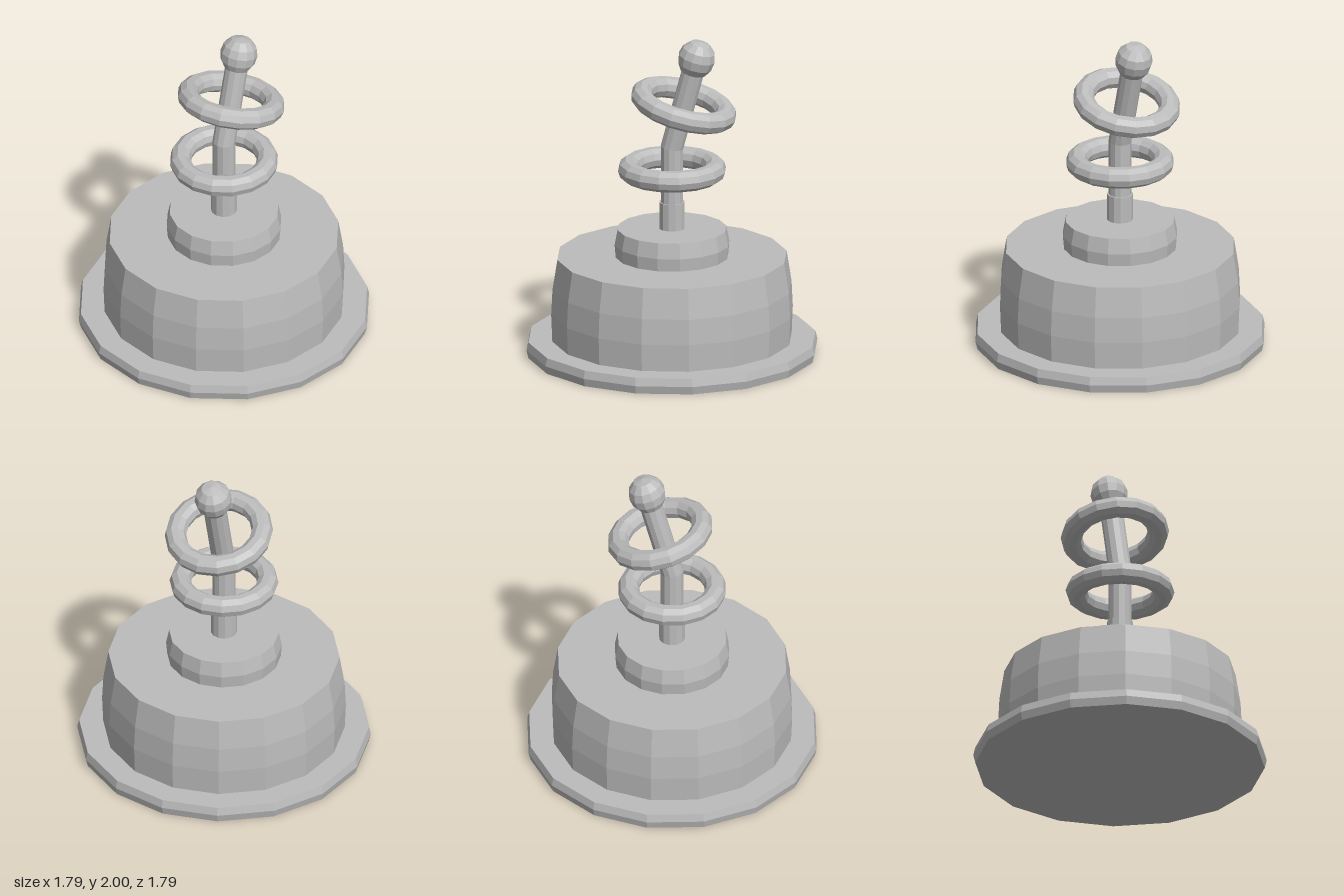
import * as THREE from 'three';

export function createModel() {
  const model = new THREE.Group();
  const grey = new THREE.MeshStandardMaterial({ color: 0xbcbcbc, flatShading: true });
  grey.name = 'plain grey';

  const tilt = THREE.MathUtils.degToRad(15);
  const bendY = 1.31;
  // point on the leaning upper stem, at distance t above the bend
  const onStem = (t) => new THREE.Vector3(Math.sin(tilt) * t, bendY + Math.cos(tilt) * t, 0);

  function add(name, geometry) {
    const mesh = new THREE.Mesh(geometry, grey);
    mesh.name = name;
    model.add(mesh);
    return mesh;
  }

  // closed turned shape from [radius, y] pairs, bottom to top
  function turned(name, profile, sides = 16) {
    const pts = [[0, profile[0][1]], ...profile, [0, profile[profile.length - 1][1]]];
    return add(name, new THREE.LatheGeometry(pts.map(([r, y]) => new THREE.Vector2(r, y)), sides));
  }

  // stepped base
  turned('basePlate', [[0.885, 0], [0.897, 0.05], [0.885, 0.1]]);
  turned('drum', [[0.738, 0.1], [0.745, 0.27], [0.737, 0.43], [0.707, 0.62]]);
  turned('cap', [[0.347, 0.62], [0.354, 0.7], [0.335, 0.795]]);
  turned('collar', [[0.08, 0.795], [0.08, 0.963]], 12);

  // bent stem: a cylinder whose middle ring is mitred and top ring leans
  const stem = new THREE.CylinderGeometry(0.07, 0.07, 2, 12, 2);
  const pos = stem.attributes.position;
  const top = onStem(0.53);
  for (let i = 0; i < pos.count; i++) {
    const x = pos.getX(i), y = pos.getY(i);
    if (y < -0.5) pos.setY(i, 0.8);
    else if (y < 0.5) pos.setY(i, bendY - x * Math.tan(tilt / 2));
    else {
      pos.setX(i, top.x + x * Math.cos(tilt));
      pos.setY(i, top.y - x * Math.sin(tilt));
    }
  }
  stem.computeVertexNormals();
  add('stem', stem);

  // loose rings around the stem
  function ring(name, centre, lean) {
    const mesh = add(name, new THREE.TorusGeometry(0.267, 0.066, 10, 16).rotateX(Math.PI / 2));
    mesh.position.copy(centre);
    mesh.rotation.z = -lean;
  }
  ring('lowerRing', new THREE.Vector3(0, 1.17, 0), 0);
  ring('upperRing', onStem(0.284), tilt);

  // rounded knob on the tip
  const knob = turned('knob', [[0.078, 0], [0.106, 0.045], [0.115, 0.1], [0.102, 0.15],
    [0.062, 0.193], [0.001, 0.206]], 12);
  knob.position.copy(onStem(0.505));
  knob.rotation.z = -tilt;

  return model;
}
